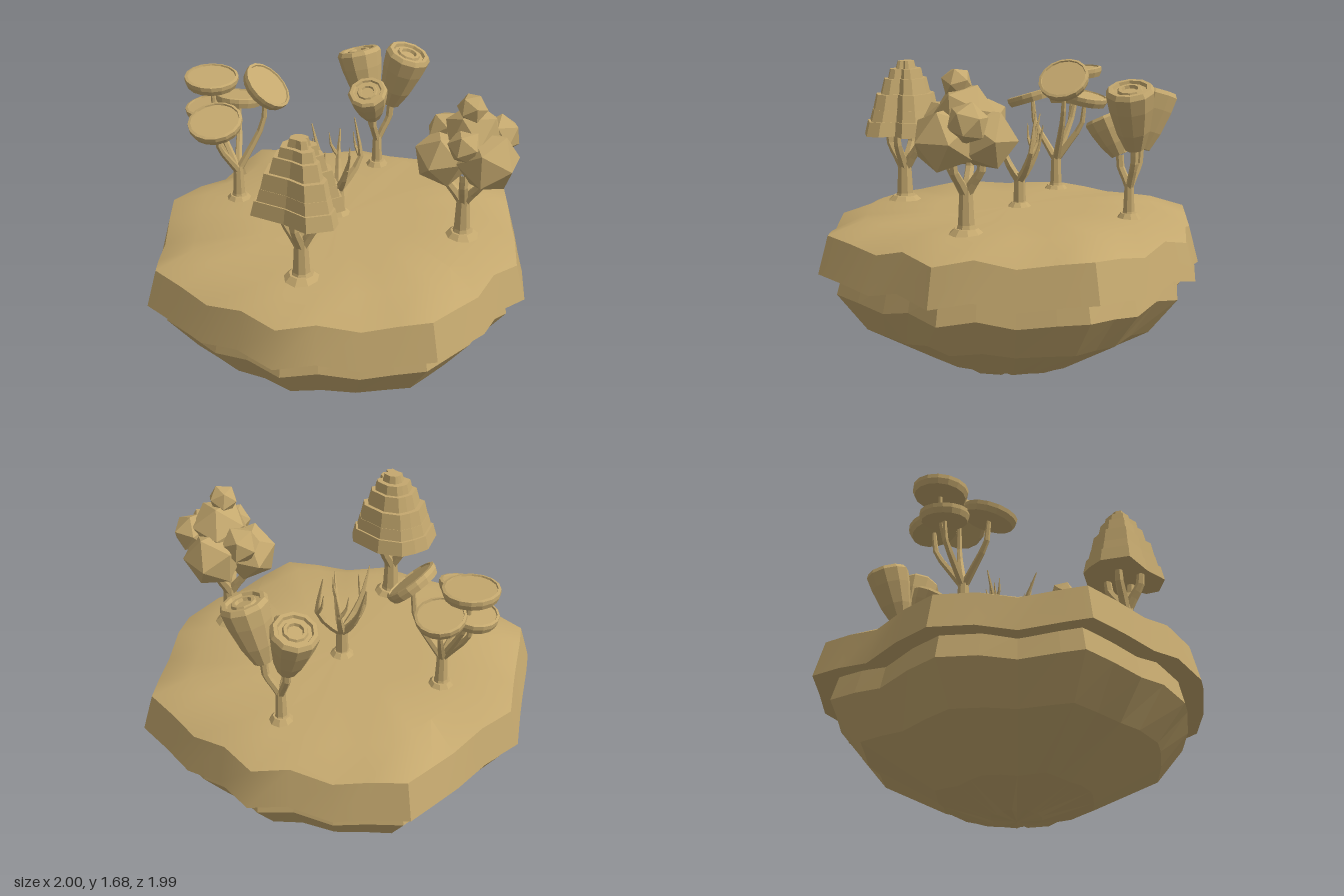
import * as THREE from 'three';
import { toCreasedNormals } from 'three/addons/utils/BufferGeometryUtils.js';

const V = (x, y, z) => new THREE.Vector3(x, y, z);
const UP = V(0, 1, 0);

// Faceted normals for low-poly parts
function flat(geometry) {
  const g = geometry.index ? geometry.toNonIndexed() : geometry;
  g.computeVertexNormals();
  return g;
}

// Skin closed rings of points, listed bottom to top, counter-clockwise from above
function loft(rings) {
  const pos = [];
  const tri = (...pts) => pts.forEach(p => pos.push(p.x, p.y, p.z));
  for (let i = 0; i < rings.length - 1; i++) {
    const n = rings[i].length;
    for (let j = 0; j < n; j++) {
      const k = (j + 1) % n, a = rings[i][j], b = rings[i][k], c = rings[i + 1][k], d = rings[i + 1][j];
      if (a.distanceTo(b) > 1e-6) tri(a, b, c);
      if (c.distanceTo(d) > 1e-6) tri(a, c, d);
    }
  }
  const g = new THREE.BufferGeometry();
  g.setAttribute('position', new THREE.Float32BufferAttribute(pos, 3));
  return g;
}

// Tapered faceted limb along a few points
function limbGeometry(points, r0, r1, sides = 6, flare = 0) {
  const curve = new THREE.CatmullRomCurve3(points.map(p => V(...p)), false, 'catmullrom', 0.3);
  const segs = (points.length - 1) * 2;
  const g = new THREE.TubeGeometry(curve, segs, 1, sides);
  const pos = g.attributes.position, v = V(0, 0, 0);
  for (let i = 0; i <= segs; i++) {
    const c = curve.getPointAt(i / segs);
    const r = THREE.MathUtils.lerp(r0, r1, i / segs) + (i === 0 ? flare : 0);
    for (let j = 0; j <= sides; j++) {
      const k = i * (sides + 1) + j;
      v.fromBufferAttribute(pos, k).sub(c).multiplyScalar(r).add(c);
      pos.setXYZ(k, v.x, v.y, v.z);
    }
  }
  return flat(g);
}

// Island outline (x, z), counter-clockwise from the front tip
const OUTLINE = [
  [0, .99], [.2, .94], [.41, .87], [.58, .8], [.74, .73], [.81, .56], [.88, .37], [.92, .2],
  [1, 0], [.94, -.2], [.88, -.4], [.81, -.6], [.75, -.76], [.57, -.83], [.4, -.9], [.19, -.94],
  [0, -1], [-.19, -.94], [-.41, -.9], [-.58, -.83], [-.76, -.76], [-.81, -.58], [-.85, -.4], [-.92, -.2],
  [-1, 0], [-.93, .21], [-.87, .4], [-.81, .61], [-.77, .73], [-.59, .81], [-.41, .89], [-.2, .94]];
const WAVE = [-1, 1, -1, .3, 1, .3, -1, 1];
const islandRing = ([s, y, amp]) => OUTLINE.map(([x, z], k) =>
  V(x * s, y + amp * (k === 24 ? 1 : WAVE[k % 8]), z * s));

// Irregular outline of the tiered crown (x, z), counter-clockwise from above
const CROWN = [[-.03, .15], [.1, .2], [.21, .13], [.21, .06], [.14, 0], [.2, -.07], [.16, -.14],
  [-.01, -.19], [-.14, -.16], [-.19, -.1], [-.23, -.03], [-.21, .12]];

export function createModel() {
  const model = new THREE.Group();
  const sand = new THREE.MeshStandardMaterial({ color: 0xc4a86e });

  const add = (parent, name, geometry) => {
    const m = new THREE.Mesh(geometry, sand);
    m.name = name;
    parent.add(m);
    return m;
  };
  const group = name => {
    const g = new THREE.Group();
    g.name = name;
    model.add(g);
    return g;
  };
  // Trunk with branches that leave its top, bulge outward and rise to each target
  const trunkAndBranches = (g, base, forkY, r, targets, rTip = .014) => {
    const [x, z] = base;
    add(g, 'trunk', limbGeometry([[x, .87, z], [x, .98, z], [x, forkY, z]], r, r * .75, 8, r * .4));
    add(g, 'rootMound', flat(new THREE.CylinderGeometry(r * 1.3, r * 2, .03, 9))).position.set(x, .895, z);
    targets.forEach(([tx, ty, tz]) => add(g, 'branch', limbGeometry([
      [x, forkY - .03, z],
      [x + (tx - x) * .5, forkY + (ty - forkY) * .25, z + (tz - z) * .5],
      [x + (tx - x) * .9, forkY + (ty - forkY) * .55, z + (tz - z) * .9],
      [tx, ty, tz]], r * .6, rTip, 6)));
  };

  // Island: overhanging cap and faceted rock below
  const island = group('island');
  add(island, 'grassCap', toCreasedNormals(loft([
    [.84, .625, .02], [1, .607, .02], [.948, .8, .02], [.76, .883, .004], [.4, .893, 0], [0, .893, 0],
  ].map(islandRing)), .5));
  add(island, 'rockUnderside', flat(loft([
    [0, 0, 0], [.13, .015, .006], [.4, .105, .005], [.76, .305, .008], [.91, .497, .016], [.875, .63, .01],
  ].map(islandRing))));

  // Front: tree with a stepped crown
  const tiered = group('tieredTree');
  trunkAndBranches(tiered, [.015, .61], 1.08, .048,
    [[-.08, 1.27, .61], [.1, 1.27, .61], [.01, 1.27, .7], [.02, 1.27, .51]], .02);
  const tiers = [[1.245, 1.32, 1, .92], [1.31, 1.38, .88, .8], [1.37, 1.46, .8, .71],
    [1.45, 1.54, .62, .52], [1.53, 1.59, .44, .38], [1.585, 1.63, .25, .2]];
  tiers.forEach(([y0, y1, s0, s1]) => {
    const ring = (s, y) => CROWN.map(([x, z]) => V(x * s, y, z * s));
    add(tiered, 'crownTier', flat(loft([ring(0, y0), ring(s0, y0), ring(s1, y1), ring(0, y1)])))
      .position.set(.01, 0, .595);
  });

  // Right: tree with a cluster of faceted clumps
  const clump = group('clumpTree');
  trunkAndBranches(clump, [.645, -.04], 1.1, .045,
    [[.55, 1.27, -.02], [.75, 1.27, -.02], [.65, 1.27, -.13], [.66, 1.27, .04]], .02);
  [[.77, 1.35, .01, .16], [.54, 1.33, 0, .145], [.66, 1.35, -.155, .15], [.68, 1.46, -.05, .15],
    [.675, 1.61, -.01, .075], [.53, 1.43, -.1, .1], [.8, 1.44, -.12, .1], [.67, 1.44, .07, .09]]
    .forEach(([x, y, z, r], i) => {
      const m = add(clump, 'leafClump', flat(new THREE.IcosahedronGeometry(r * 1.03, 0)));
      m.position.set(x, y, z);
      m.rotation.set(i * .7, i * 1.3, i * .4);
    });

  // Left: tree carrying tilted discs
  const discTree = group('discTree');
  const discs = [
    { at: [-.73, 1.52, -.09], n: [.04, 1, .06], r: .14 },
    { at: [-.445, 1.505, -.125], n: [.68, .74, 0], r: .138 },
    { at: [-.62, 1.385, .13], n: [0, .95, .3], r: .14 },
    { at: [-.735, 1.37, -.06], n: [-.12, 1, .05], r: .125 },
    { at: [-.62, 1.39, -.18], n: [0, .97, -.2], r: .125 }];
  trunkAndBranches(discTree, [-.575, -.03], 1.08, .036, discs.map(d => d.at), .011);
  discs.forEach(({ at, n, r }) => {
    const profile = [[0, -.022], [r * .92, -.022], [r, .005], [r, .026], [r * .9, .03], [r * .88, .022], [0, .022]]
      .map(p => new THREE.Vector2(...p));
    const m = add(discTree, 'leafDisc', flat(new THREE.LatheGeometry(profile, 16)));
    m.position.set(...at);
    m.quaternion.setFromUnitVectors(UP, V(...n).normalize());
  });

  // Back: tree with cup-shaped crowns that have stepped rings on top
  const cupTree = group('cupTree');
  const cups = [
    { top: [.16, 1.56, -.69], foot: [.06, 1.25, -.69], s: 1 },
    { top: [-.14, 1.52, -.73], foot: [-.06, 1.23, -.68], s: .98 },
    { top: [-.015, 1.39, -.5], foot: [-.01, 1.2, -.59], s: .88 }];
  trunkAndBranches(cupTree, [0, -.645], 1.06, .032, cups.map(c => c.foot), .02);
  cups.forEach(({ top, foot, s }) => {
    const axis = V(...top).sub(V(...foot)), h = axis.length();
    const profile = [[0, 0], [.05, 0], [.085, .3], [.112, .68], [.122, .93], [.108, 1], [.088, 1],
      [.082, .95], [.064, .95], [.058, .99], [.042, .99], [.037, .94], [0, .94]]
      .map(([r, y]) => new THREE.Vector2(r * s, y * h));
    const m = add(cupTree, 'leafCup', flat(new THREE.LatheGeometry(profile, 10)));
    m.position.set(...foot);
    m.quaternion.setFromUnitVectors(UP, axis.normalize());
  });

  // Centre: bare tree with forked, pointed branches
  const bare = group('bareTree');
  const bx = -.02, bz = -.04;
  add(bare, 'trunk', limbGeometry([[bx, .87, bz], [bx, .97, bz], [bx, 1.07, bz]], .036, .028, 7, .015));
  add(bare, 'rootMound', flat(new THREE.CylinderGeometry(.04, .07, .03, 9))).position.set(bx, .9, bz);
  [[-.13, -.07, -.18, -.09, 1.36], [-.07, .08, -.08, .15, 1.34], [.05, .03, .085, .08, 1.3],
    [.07, -.14, .03, -.15, 1.4], [-.05, -.13, -.05, -.16, 1.32]].forEach(([mx, mz, tx, tz, ty]) => {
    add(bare, 'branch', limbGeometry(
      [[bx, 1.03, bz], [(bx + mx) / 2, 1.09, (bz + mz) / 2], [mx, 1.19, mz], [tx, ty, tz]], .026, .003, 5));
    add(bare, 'twig', limbGeometry(
      [[mx, 1.18, mz], [mx + mz * .25, 1.23, mz - mx * .25], [mx + mz * .35, 1.31, mz - mx * .3]], .013, .002, 5));
  });

  return model;
}
